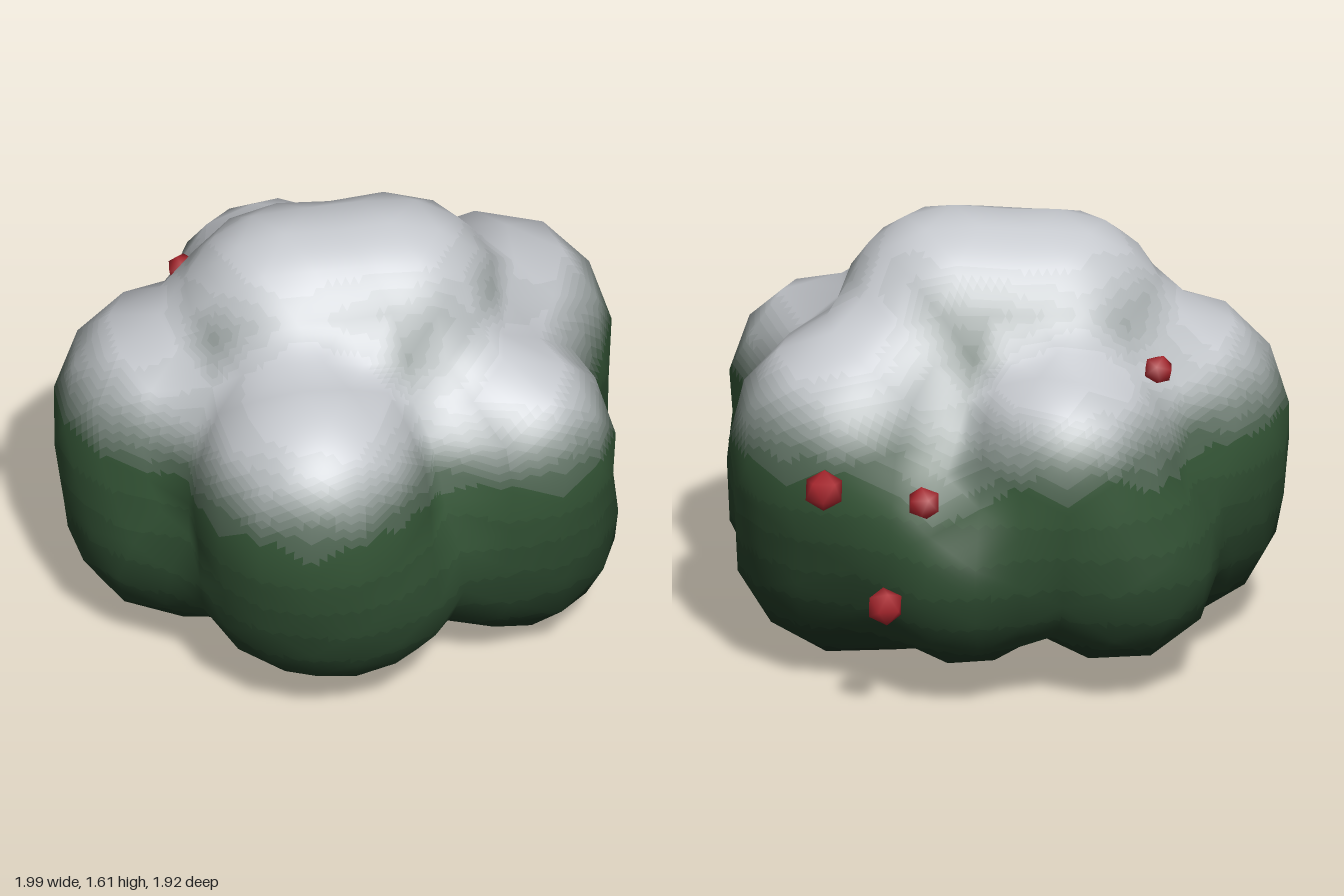
import * as THREE from 'three';
import { mergeVertices } from 'three/addons/utils/BufferGeometryUtils.js';

// Rounded clumps of the bush: centre x, y, z and radii x, y, z
const CLUMPS = [
  [0.00, 0.62, -0.03, 0.72, 0.62, 0.64],     // core
  [-0.19, 1.12, -0.07, 0.40, 0.46, 0.41],    // crown
  [0.21, 1.12, -0.07, 0.41, 0.49, 0.42],
  [0.01, 1.10, -0.07, 0.45, 0.47, 0.38],
  [-0.13, 0.86, 0.50, 0.44, 0.46, 0.46],     // front
  [-0.06, 0.50, 0.46, 0.49, 0.40, 0.44],
  [-0.58, 0.80, -0.06, 0.42, 0.46, 0.44],    // right side
  [-0.56, 0.47, 0.00, 0.41, 0.41, 0.46],
  [0.57, 0.84, -0.33, 0.43, 0.46, 0.43],     // rear left side
  [0.54, 0.46, -0.23, 0.44, 0.43, 0.43],
  [0.60, 0.83, 0.27, 0.36, 0.40, 0.35],      // front left side
  [0.58, 0.46, 0.20, 0.40, 0.42, 0.39],
  [-0.18, 0.84, -0.54, 0.39, 0.40, 0.40],    // back
  [0.18, 0.50, -0.56, 0.37, 0.38, 0.39],
  [-0.36, 0.48, -0.56, 0.36, 0.37, 0.37],
];
const ORIGIN = new THREE.Vector3(0, 0.7, -0.02);
const BLEND = 20;
const FOLIAGE_TONES = 6;
const SNOW_TONES = 12;
const PAINT_STEPS = 6;

// Icosphere with shared vertices, for smooth shading
function icosphere(radius, detail) {
  const geo = new THREE.IcosahedronGeometry(radius, detail);
  geo.deleteAttribute('normal');
  geo.deleteAttribute('uv');
  const merged = mergeVertices(geo, 1e-4);
  merged.computeVertexNormals();
  return merged;
}

// Distance along a ray from ORIGIN to the far side of a clump, 0 if missed
function exitDistance(dir, [cx, cy, cz, rx, ry, rz]) {
  const d = new THREE.Vector3(dir.x / rx, dir.y / ry, dir.z / rz);
  const o = new THREE.Vector3((ORIGIN.x - cx) / rx, (ORIGIN.y - cy) / ry, (ORIGIN.z - cz) / rz);
  const a = d.dot(d), b = o.dot(d), disc = b * b - a * (o.dot(o) - 1);
  return disc > 0 ? Math.max(0, (-b + Math.sqrt(disc)) / a) : 0;
}

// Coarse sphere pushed out to the softly blended union of all clumps
function bushGeometry() {
  const geo = icosphere(1, 5);
  const pos = geo.attributes.position;
  const v = new THREE.Vector3();
  for (let i = 0; i < pos.count; i++) {
    v.fromBufferAttribute(pos, i).normalize();
    const sum = CLUMPS.reduce((s, c) => s + exitDistance(v, c) ** BLEND, 0);
    v.multiplyScalar(sum ** (1 / BLEND)).add(ORIGIN);
    pos.setXYZ(i, v.x, Math.max(0, v.y), v.z);
  }
  geo.computeVertexNormals();
  return geo.toNonIndexed();
}

// Snow settles on high, upward surfaces
function snowAt(y, up) {
  return THREE.MathUtils.smoothstep(up, 0.1, 0.8) * THREE.MathUtils.smoothstep(y, 0.72, 1.12);
}

// Foliage lightens with height, then fades into snow
function toneAt(y, snow) {
  if (snow < 0.5 / SNOW_TONES) return Math.round(FOLIAGE_TONES * THREE.MathUtils.clamp((y - 0.05) / 0.75, 0, 1));
  return FOLIAGE_TONES + Math.round(snow * SNOW_TONES);
}

function toneColor(tone) {
  const dark = new THREE.Color(0x1b3020), green = new THREE.Color(0x345536), white = new THREE.Color(0xc6c9ce);
  return tone <= FOLIAGE_TONES
    ? dark.lerp(green, tone / FOLIAGE_TONES)
    : green.lerp(white, (tone - FOLIAGE_TONES) / SNOW_TONES);
}

// Point at weights (u, v) within a triangle of corners
function blendCorners([a, b, c], u, v) {
  const mix = (key) => a[key].clone().multiplyScalar(1 - u - v).addScaledVector(b[key], u).addScaledVector(c[key], v);
  return { p: mix('p'), n: mix('n').normalize(), snow: a.snow * (1 - u - v) + b.snow * u + c.snow * v };
}

function createBush() {
  const bush = new THREE.Group();
  bush.name = 'bush';
  const { position, normal } = bushGeometry().attributes;
  const tones = Array.from({ length: FOLIAGE_TONES + SNOW_TONES + 1 }, () => ({ p: [], n: [] }));

  const addFace = (face) => {
    const y = (face[0].p.y + face[1].p.y + face[2].p.y) / 3;
    const snow = (face[0].snow + face[1].snow + face[2].snow) / 3;
    const tone = tones[toneAt(y, snow)];
    for (const corner of face) {
      tone.p.push(...corner.p);
      tone.n.push(...corner.n);
    }
  };

  // Divide each facet finely so its tones fade across it
  for (let i = 0; i < position.count; i += 3) {
    const corners = [i, i + 1, i + 2].map((k) => {
      const p = new THREE.Vector3().fromBufferAttribute(position, k);
      const n = new THREE.Vector3().fromBufferAttribute(normal, k);
      return { p, n, snow: snowAt(p.y, n.y) };
    });
    const at = (r, s) => blendCorners(corners, r / PAINT_STEPS, s / PAINT_STEPS);
    for (let r = 0; r < PAINT_STEPS; r++) {
      for (let s = 0; r + s < PAINT_STEPS; s++) {
        addFace([at(r, s), at(r + 1, s), at(r, s + 1)]);
        if (r + s < PAINT_STEPS - 1) addFace([at(r + 1, s), at(r + 1, s + 1), at(r, s + 1)]);
      }
    }
  }

  tones.forEach((tone, i) => {
    if (!tone.p.length) return;
    const part = new THREE.BufferGeometry();
    part.setAttribute('position', new THREE.Float32BufferAttribute(tone.p, 3));
    part.setAttribute('normal', new THREE.Float32BufferAttribute(tone.n, 3));
    const mesh = new THREE.Mesh(part, new THREE.MeshStandardMaterial({ color: toneColor(i) }));
    mesh.name = i <= FOLIAGE_TONES ? `foliage${i + 1}` : `snow${i - FOLIAGE_TONES}`;
    bush.add(mesh);
  });
  return bush;
}

// Red berries: x, y, z, radius
function createBerries() {
  const berries = new THREE.Group();
  berries.name = 'berries';
  const material = new THREE.MeshStandardMaterial({ color: 0xa8262d });
  const spots = [
    [0.34, 0.83, -0.85, 0.062],
    [0.48, 0.46, -0.90, 0.068],
    [0.69, 0.87, -0.81, 0.074],
    [-0.51, 1.14, -0.43, 0.056],
  ];
  spots.forEach(([x, y, z, r], i) => {
    const berry = new THREE.Mesh(icosphere(r, 0), material);
    berry.position.set(x, y, z);
    berry.rotation.set(i * 0.7, i * 1.1, 0.4);
    berry.name = `berry${i + 1}`;
    berries.add(berry);
  });
  return berries;
}

export function createModel() {
  const model = new THREE.Group();
  model.name = 'snowyBerryBush';
  model.add(createBush(), createBerries());
  return model;
}
